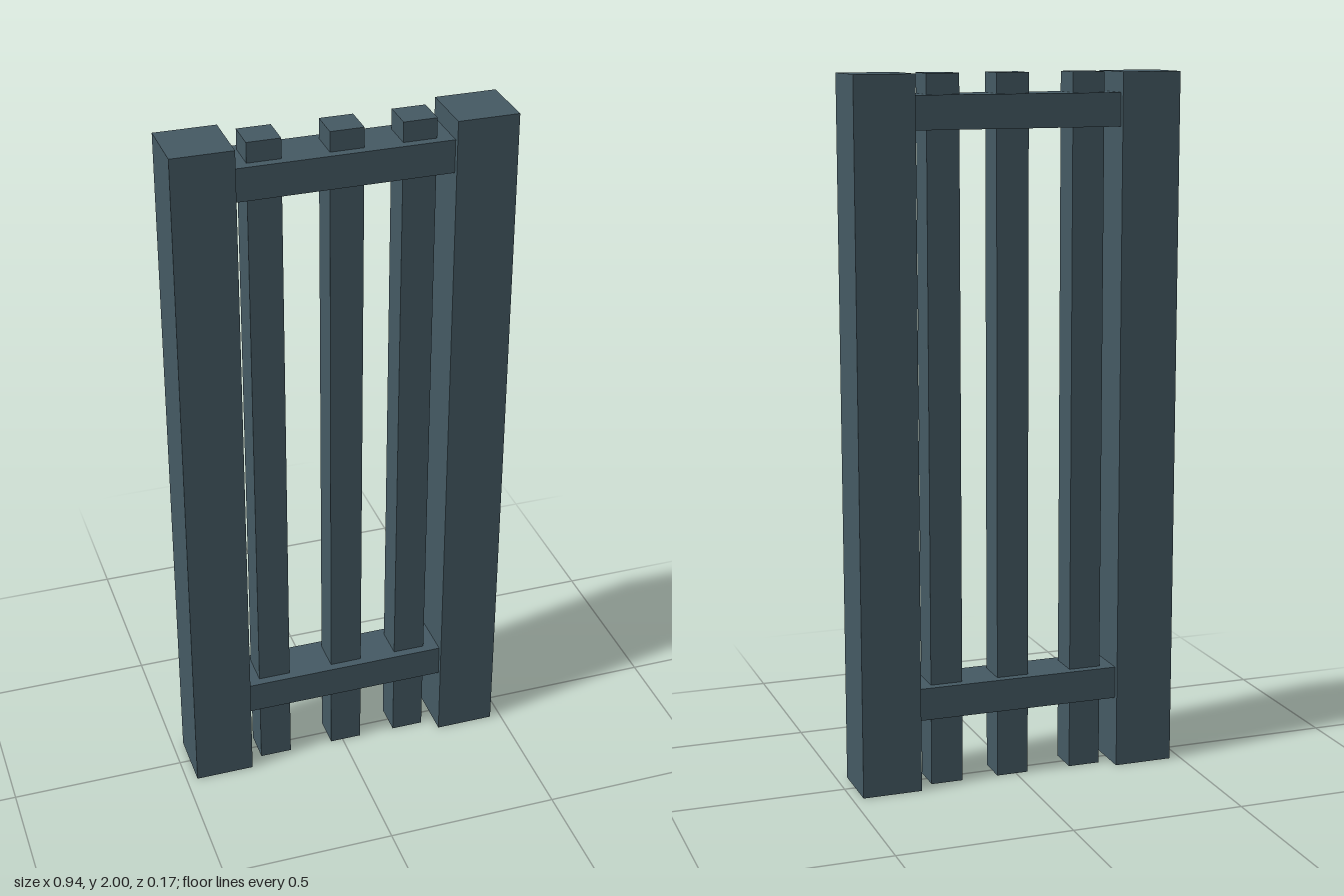
import * as THREE from 'three';

export function createModel() {
  const group = new THREE.Group();
  group.name = 'fencePanel';
  const slate = new THREE.MeshStandardMaterial({ color: 0x455a64 });
  slate.name = 'slate';

  const addBox = (name, width, height, depth, x, y) => {
    const mesh = new THREE.Mesh(new THREE.BoxGeometry(width, height, depth), slate);
    mesh.name = name;
    mesh.position.set(x, y, 0);
    group.add(mesh);
  };

  // Thick posts at both ends
  addBox('leftPost', 0.171, 2, 0.173, 0.383, 1);
  addBox('rightPost', 0.171, 2, 0.173, -0.383, 1);

  // Cross rails between the posts
  addBox('bottomRail', 0.596, 0.093, 0.143, 0, 0.249);
  addBox('topRail', 0.596, 0.093, 0.143, 0, 1.897);

  // Slim upright bars passing through the rails, slightly uneven in spacing
  [-0.212, 0.01, 0.209].forEach((x, i) => addBox(`bar${i + 1}`, 0.093, 2, 0.093, x, 1));

  return group;
}
